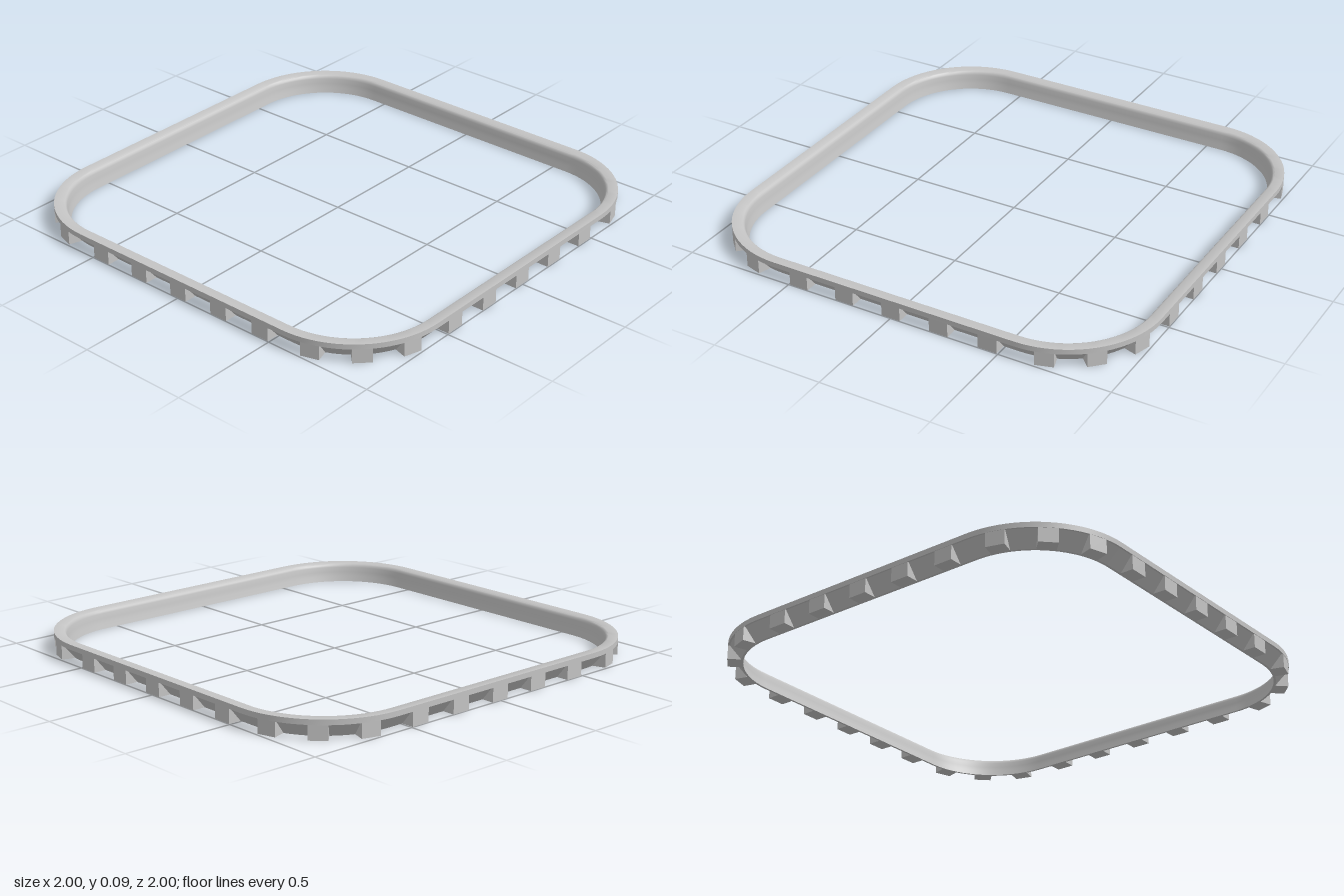
import * as THREE from 'three';
import { toCreasedNormals } from 'three/addons/utils/BufferGeometryUtils.js';

const CORNER = 0.57; // corner arc centre
const RADIUS = 0.43; // outer corner radius
const HEIGHT = 0.086;
const SOFFIT = 0.063; // underside of the rim

// Sweep a closed profile of [inset, y] points round a square with rounded corners
function sweepRoundedSquare(profile, arcSteps) {
  const positions = [], indices = [];
  const signs = [[1, 1], [-1, 1], [-1, -1], [1, -1]];
  signs.forEach(([sx, sz], k) => {
    for (let i = 0; i <= arcSteps; i++) {
      const a = (k + i / arcSteps) * Math.PI / 2;
      for (const [inset, y] of profile) {
        const r = RADIUS - inset;
        positions.push(sx * CORNER + r * Math.cos(a), y, sz * CORNER + r * Math.sin(a));
      }
    }
  });
  const n = profile.length, rings = 4 * (arcSteps + 1);
  for (let i = 0; i < rings; i++) {
    for (let j = 0; j < n; j++) {
      const i2 = (i + 1) % rings, j2 = (j + 1) % n;
      const a = i * n + j, b = i * n + j2, c = i2 * n + j, d = i2 * n + j2;
      indices.push(a, b, c, b, d, c);
    }
  }
  const geometry = new THREE.BufferGeometry();
  geometry.setAttribute('position', new THREE.Float32BufferAttribute(positions, 3));
  geometry.setIndex(indices);
  return toCreasedNormals(geometry, 0.5);
}

// Wedge block: upright outer face, flat base, back lying on the sloping soffit
function dentilGeometry(width) {
  const shape = new THREE.Shape();
  shape.moveTo(-0.062, 0);
  shape.lineTo(-0.002, 0);
  shape.lineTo(-0.002, SOFFIT + 0.002);
  shape.lineTo(-0.012, SOFFIT + 0.002);
  shape.closePath();
  const geometry = new THREE.ExtrudeGeometry(shape, { depth: width, bevelEnabled: false });
  geometry.translate(0, 0, -width / 2);
  return geometry;
}

export function createModel() {
  const model = new THREE.Group();
  model.name = 'dentilCornice';
  const stone = new THREE.MeshStandardMaterial({ color: 0xc4c4c4 });
  stone.name = 'light grey stone';

  // Rim with sloping outer wall and softly rounded inner edge
  const profile = [
    [0.06, 0], [0.008, SOFFIT], [0, SOFFIT], [0, HEIGHT],
    [0.042, HEIGHT], [0.048, 0.083], [0.053, 0.077], [0.056, 0.068],
    [0.059, 0.045], [0.063, 0.025], [0.068, 0.008], [0.07, 0],
  ];
  const rim = new THREE.Mesh(sweepRoundedSquare(profile, 20), stone);
  rim.name = 'corniceRim';
  model.add(rim);

  // Dentils: five on each side, three round each corner
  const sideBlock = dentilGeometry(0.086);
  const cornerBlock = dentilGeometry(0.08);
  const addDentil = (parent, geometry, x, z, angle) => {
    const dentil = new THREE.Mesh(geometry, stone);
    dentil.name = 'dentil';
    dentil.position.set(x, 0, z);
    dentil.rotation.y = -angle;
    parent.add(dentil);
  };
  for (let k = 0; k < 4; k++) {
    const side = new THREE.Group();
    side.name = 'dentilRow' + (k + 1);
    side.rotation.y = k * Math.PI / 2;
    for (let i = -2; i <= 2; i++) addDentil(side, sideBlock, 1, i * 0.225, 0);
    for (const degrees of [17, 45, 73]) {
      const a = THREE.MathUtils.degToRad(degrees);
      addDentil(side, cornerBlock, CORNER + RADIUS * Math.cos(a), CORNER + RADIUS * Math.sin(a), a);
    }
    model.add(side);
  }
  return model;
}
